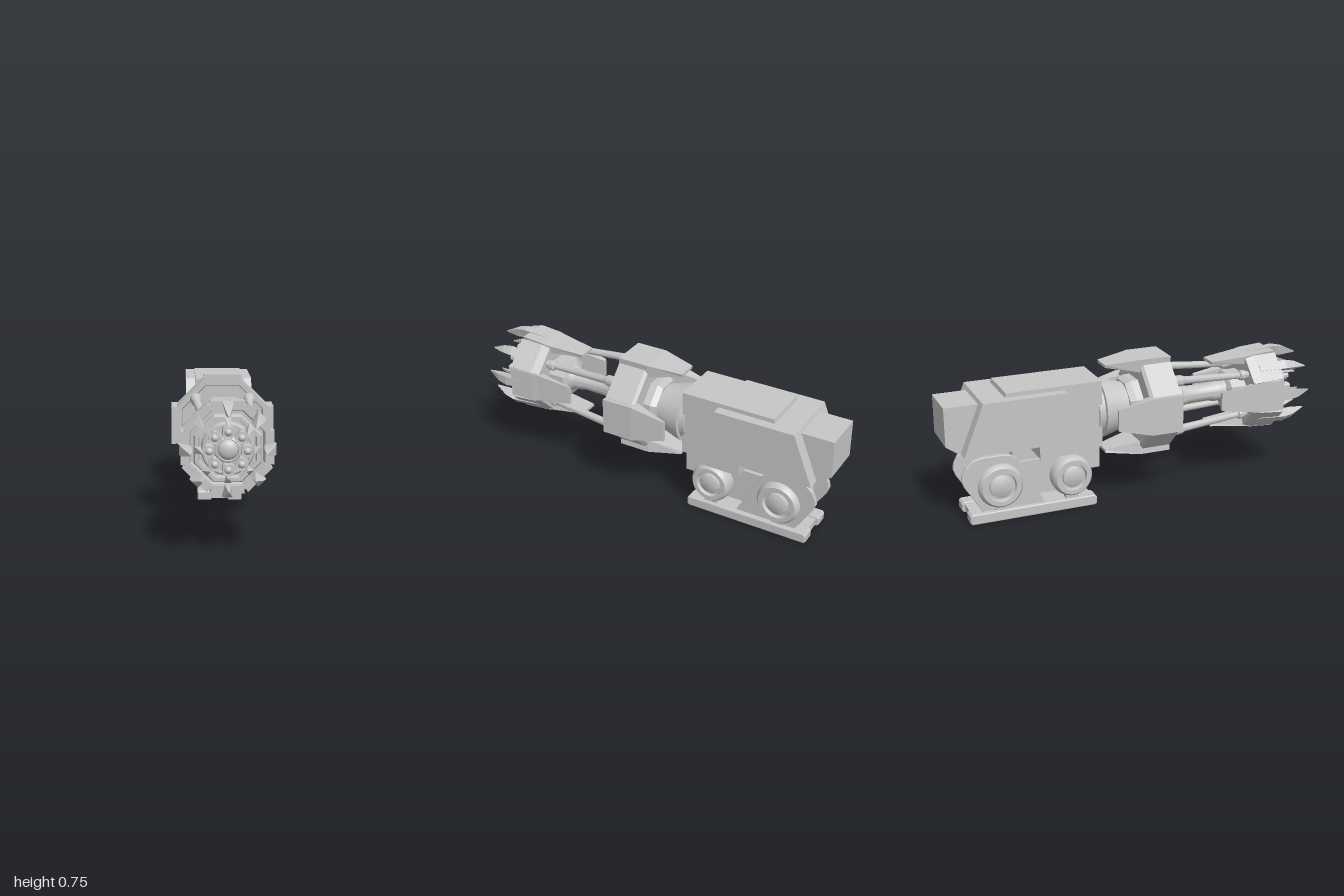
import * as THREE from 'three';
import { toCreasedNormals } from 'three/addons/utils/BufferGeometryUtils.js';

const AXIS = 0.495; // height of the barrel axis
const grey = new THREE.MeshStandardMaterial({ color: 0xc6c6c6 });
grey.name = 'light grey';

function add(parent, name, geo) {
  const m = new THREE.Mesh(geo, grey);
  m.name = name;
  parent.add(m);
  return m;
}

// Round or octagonal solid along z from [radius, z] points, z ascending
function turned(points, seg = 40) {
  const oct = seg === 8;
  const k = oct ? 1 / Math.cos(Math.PI / 8) : 1;
  const g = new THREE.LatheGeometry(points.map(([r, z]) => new THREE.Vector2(r * k, z)), seg);
  g.rotateX(Math.PI / 2);
  if (oct) g.rotateZ(Math.PI / 8);
  return toCreasedNormals(g, oct ? 0.2 : 0.6);
}

// Side profile of [z, y] points, extruded to the full width in x
function sideCut(points, width, bevel = 0) {
  const shape = new THREE.Shape(points.map(([z, y]) => new THREE.Vector2(z, y)));
  const g = new THREE.ExtrudeGeometry(shape, {
    depth: width - 2 * bevel, bevelEnabled: bevel > 0, bevelSize: bevel,
    bevelThickness: bevel, bevelOffset: -bevel, bevelSegments: 3,
  });
  g.translate(0, 0, -width / 2 + bevel);
  g.rotateY(-Math.PI / 2);
  return g;
}

// Faceted blade along z; sections are [z, innerR, outerR, innerHalfWidth, outerHalfWidth]
function blade(sections) {
  const rings = sections.map(([z, ri, ro, wi, wo]) =>
    [[-wi, ri, z], [wi, ri, z], [wo, ro, z], [-wo, ro, z]]);
  const pos = [];
  const quad = (a, b, c, d) => pos.push(...a, ...b, ...c, ...a, ...c, ...d);
  for (let i = 0; i < rings.length - 1; i++) {
    for (let j = 0; j < 4; j++) {
      const n = (j + 1) % 4;
      quad(rings[i][j], rings[i][n], rings[i + 1][n], rings[i + 1][j]);
    }
  }
  const a = rings[0], b = rings[rings.length - 1];
  quad(a[3], a[2], a[1], a[0]);
  quad(b[0], b[1], b[2], b[3]);
  const g = new THREE.BufferGeometry();
  g.setAttribute('position', new THREE.Float32BufferAttribute(pos, 3));
  g.computeVertexNormals();
  return g;
}

// Square sleeve with cut corners and a round bore, from z = 0 to depth
function sleeve(half, cut, bore, depth) {
  const s = half - cut;
  const shape = new THREE.Shape([[s, -half], [half, -s], [half, s], [s, half], [-s, half],
    [-half, s], [-half, -s], [-s, -half]].map(([x, y]) => new THREE.Vector2(x, y)));
  shape.holes.push(new THREE.Path().absarc(0, 0, bore, 0, Math.PI * 2, true));
  return new THREE.ExtrudeGeometry(shape, { depth, bevelEnabled: false, curveSegments: 10 });
}

// Repeat a part around the barrel axis
function around(parent, name, geo, count, start = 0) {
  for (let i = 0; i < count; i++) {
    add(parent, name, geo).rotation.z = start + (i * Math.PI * 2) / count;
  }
}

function buildBarrel() {
  const b = new THREE.Group();
  b.name = 'barrel';
  b.position.y = AXIS;

  // Neck cone and octagonal collar
  add(b, 'neckCone', turned([[0, -0.2], [0.14, -0.2], [0.14, -0.168], [0.158, -0.165],
    [0.15, -0.13], [0.114, -0.01], [0.114, 0.05]]));
  add(b, 'neckNut', turned([[0, -0.03], [0.125, -0.03], [0.14, 0], [0.14, 0.05]], 8));
  add(b, 'collar', turned([[0, 0.04], [0.215, 0.04], [0.23, 0.055], [0.23, 0.207], [0.205, 0.207],
    [0.2, 0.185], [0, 0.185]], 8));
  around(b, 'collarPlate', blade([[-0.14, 0.225, 0.24, 0.05, 0.055], [0.04, 0.19, 0.26, 0.09, 0.097],
    [0.208, 0.21, 0.26, 0.092, 0.097]]), 4);
  add(b, 'collarNut', turned([[0, 0.18], [0.105, 0.18], [0.105, 0.24], [0.085, 0.255],
    [0.085, 0.275], [0, 0.275]], 8));

  // Central shaft with flared foot
  add(b, 'shaft', turned([[0.083, 0.27], [0.083, 0.29], [0.06, 0.305], [0.049, 0.345], [0.047, 0.47],
    [0.055, 0.5], [0.055, 0.53], [0.075, 0.56], [0.085, 0.67]]));
  add(b, 'shaftNut', turned([[0.06, 0.55], [0.1, 0.57], [0.1, 0.67]], 8));

  // Four diagonal struts with sockets
  for (const sx of [1, -1]) for (const sy of [1, -1]) {
    const p = new THREE.Vector3(sx * 0.138, sy * 0.138, 0.18);
    const q = new THREE.Vector3(sx * 0.106, sy * 0.106, 0.67);
    const strut = new THREE.Group();
    strut.name = 'strut';
    strut.position.copy(p);
    strut.lookAt(q);
    const L = p.distanceTo(q);
    add(strut, 'strutRod', turned([[0.029, 0], [0.029, 0.07], [0.024, 0.085], [0.021, 0.09], [0.017, L - 0.07],
      [0.026, L - 0.065], [0.028, L - 0.05], [0.026, L - 0.035], [0.02, L - 0.03], [0.02, L]], 20));
    b.add(strut);
  }

  // Head shell and nested rings
  add(b, 'headShell', turned([[0, 0.655], [0.17, 0.655], [0.19, 0.665], [0.2, 0.8], [0.195, 0.82],
    [0.172, 0.82], [0.165, 0.78], [0, 0.78]], 8));
  add(b, 'innerShell', turned([[0.15, 0.77], [0.155, 0.84], [0.148, 0.86], [0.132, 0.86],
    [0.128, 0.82], [0, 0.82]], 8));
  add(b, 'muzzleDrum', turned([[0.122, 0.81], [0.122, 0.85], [0.115, 0.865], [0.107, 0.865],
    [0.105, 0.85], [0.065, 0.85], [0.06, 0.875], [0.05, 0.88], [0.047, 0.87], [0, 0.87]]));
  const dome = add(b, 'muzzleDome', new THREE.SphereGeometry(0.046, 32, 20));
  dome.position.z = 0.875;
  dome.scale.z = 0.55;

  // Long petals on the axes, short plates on the diagonals
  around(b, 'longPetal', blade([[0.47, 0.166, 0.182, 0.045, 0.05], [0.66, 0.155, 0.198, 0.07, 0.077],
    [0.7, 0.165, 0.205, 0.074, 0.082], [0.825, 0.175, 0.214, 0.07, 0.08]]), 4);
  around(b, 'shortPetal', blade([[0.655, 0.15, 0.19, 0.068, 0.076], [0.7, 0.16, 0.203, 0.074, 0.082],
    [0.825, 0.175, 0.213, 0.07, 0.08]]), 4, Math.PI / 4);
  around(b, 'outerClaw', blade([[0.71, 0.18, 0.207, 0.01, 0.018], [0.86, 0.165, 0.221, 0.011, 0.026],
    [0.92, 0.162, 0.208, 0.011, 0.02], [1, 0.165, 0.17, 0.002, 0.003]]), 8);
  around(b, 'innerClaw', blade([[0.8, 0.125, 0.15, 0.009, 0.016], [0.87, 0.12, 0.153, 0.008, 0.017],
    [0.96, 0.114, 0.118, 0.002, 0.003]]), 8);

  // Ring of small nozzles
  const body = sleeve(0.025, 0.009, 0.021, 0.075);
  const liner = sleeve(0.022, 0.008, 0.016, 0.065);
  for (let i = 0; i < 8; i++) {
    const n = new THREE.Group();
    n.name = 'nozzle';
    const a = (i * Math.PI) / 4;
    n.position.set(Math.sin(a) * 0.086, Math.cos(a) * 0.086, 0.845);
    n.rotation.z = -a;
    add(n, 'nozzleBody', body);
    add(n, 'nozzleLiner', liner);
    add(n, 'nozzleTip', new THREE.SphereGeometry(0.017, 16, 12)).position.z = 0.066;
    b.add(n);
  }
  return b;
}

function buildHousing() {
  const h = new THREE.Group();
  h.name = 'housing';
  add(h, 'frontBody', sideCut([[-0.185, 0.33], [-0.185, 0.665], [-0.5, 0.665], [-0.5, 0.33]], 0.254));
  add(h, 'frontChin', sideCut([[-0.185, 0.195], [-0.185, 0.36], [-0.33, 0.36], [-0.28, 0.195]], 0.16));
  add(h, 'armour', sideCut([[-0.29, 0.33], [-0.29, 0.43], [-0.39, 0.66], [-0.82, 0.66],
    [-0.925, 0.395], [-0.54, 0.395], [-0.54, 0.33]], 0.364));
  add(h, 'topLid', sideCut([[-0.187, 0.64], [-0.187, 0.682], [-0.69, 0.682], [-0.7, 0.64]], 0.262));
  add(h, 'rearBox', sideCut([[-0.8, 0.397], [-0.8, 0.64], [-1, 0.64], [-1, 0.44], [-0.94, 0.397]], 0.23));
  return h;
}

function buildCarriage() {
  const c = new THREE.Group();
  c.name = 'carriage';
  add(c, 'centreFrame', sideCut([[-0.24, 0.28], [-0.3, 0.12], [-0.6, 0.12], [-0.66, 0.41],
    [-0.25, 0.41]], 0.06));

  // Upright fins beside the rear wheel and links to the front wheel
  const fin = [[-0.49, 0.05], [-0.62, 0.295], [-0.64, 0.322], [-0.665, 0.34], [-0.7, 0.347],
    [-0.82, 0.347], [-0.865, 0.335], [-0.9, 0.305], [-0.92, 0.265], [-0.925, 0.235],
    [-0.913, 0.2], [-0.82, 0.05]];
  const link = [[-0.33, 0.09], [-0.33, 0.27], [-0.42, 0.28], [-0.62, 0.28], [-0.55, 0.09]];
  const wheel = (r) => turned([[0, 0.03], [r, 0.03], [r, 0.1], [r * 0.96, 0.115],
    [r * 0.86, 0.129], [r * 0.66, 0.129], [r * 0.62, 0.11], [r * 0.52, 0.11], [r * 0.5, 0.122],
    [r * 0.44, 0.126], [0, 0.126]]).rotateY(Math.PI / 2);
  for (const s of [1, -1]) {
    add(c, 'rearFin', sideCut(fin, 0.022, 0.004)).position.x = s * 0.085;
    add(c, 'wheelLink', sideCut(link, 0.02)).position.x = s * 0.05;
    for (const [name, r, y, z] of [['frontWheel', 0.109, 0.178, -0.345], ['rearWheel', 0.118, 0.186, -0.727]]) {
      const w = add(c, name, wheel(r));
      w.position.set(0, y, z);
      w.rotation.y = s > 0 ? 0 : Math.PI;
    }
    // Skid rail with low pads
    add(c, 'skidRail', sideCut([[-0.216, 0.008], [-0.216, 0.046], [-0.226, 0.056], [-0.885, 0.056],
      [-0.895, 0.046], [-0.895, 0.01], [-0.885, 0], [-0.226, 0]], 0.076, 0.007)).position.x = s * 0.084;
    for (const z of [-0.345, -0.727]) {
      add(c, 'railPad', new THREE.BoxGeometry(0.04, 0.025, 0.07)).position.set(s * 0.084, 0.06, z);
    }
  }
  // Drums joining each pair of wheels
  add(c, 'frontDrum', turned([[0.105, -0.031], [0.105, 0.031]]).rotateY(Math.PI / 2)).position.set(0, 0.178, -0.345);
  add(c, 'rearDrum', turned([[0.1, -0.031], [0.08, -0.02], [0.08, 0.02], [0.1, 0.031]])
    .rotateY(Math.PI / 2)).position.set(0, 0.186, -0.727);
  add(c, 'skidBed', new THREE.BoxGeometry(0.1, 0.036, 0.65)).position.set(0, 0.028, -0.555);
  return c;
}

export function createModel() {
  const model = new THREE.Group();
  model.name = 'cannon';
  model.add(buildBarrel(), buildHousing(), buildCarriage());
  return model;
}
